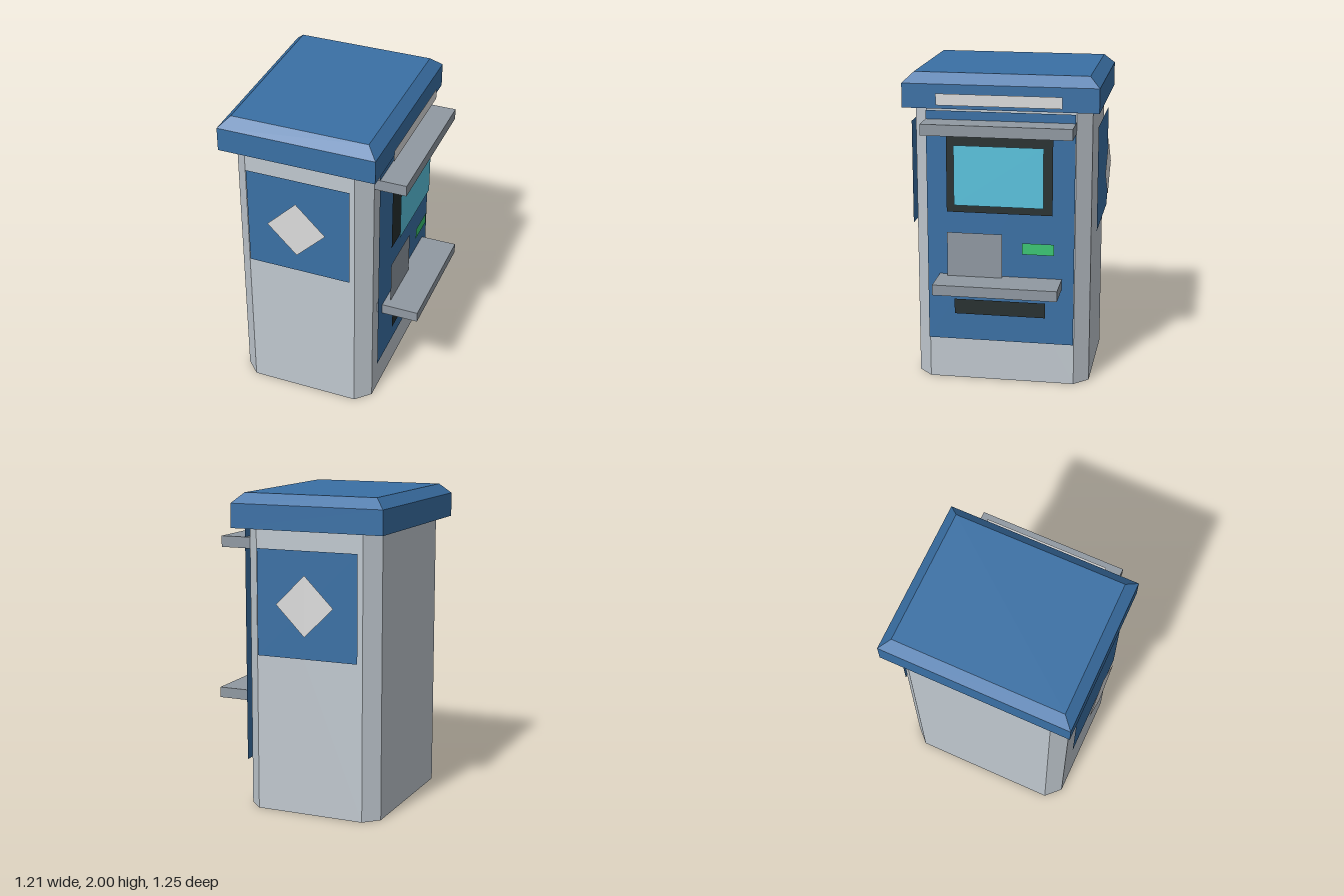
import * as THREE from 'three';

export function createModel() {
  const model = new THREE.Group();
  model.name = 'kiosk';
  const material = (name, color, side = THREE.DoubleSide) => {
    const m = new THREE.MeshStandardMaterial({ color, side });
    m.name = name;
    return m;
  };
  const bodyGrey = material('bodyGrey', 0xc0c8cf, THREE.FrontSide);
  const blue = material('blue', 0x3a70a5);
  const shelfGrey = material('shelfGrey', 0x9099a2);
  const black = material('black', 0x273030);
  const paleGrey = material('paleGrey', 0xdcdcdc);
  const screenBlue = material('screenBlue', 0x5ac3de);
  const green = material('green', 0x3bc674);

  const add = (name, geometry, mat, parent = model) => {
    const mesh = new THREE.Mesh(geometry, mat);
    mesh.name = name;
    parent.add(mesh);
    return mesh;
  };

  // Cabinet: a rectangle with cut corners, extruded upwards
  const x0 = -0.552, x1 = 0.335, z1 = 0.557, cut = 0.09;
  const outline = new THREE.Shape([
    [x0 + cut, -z1], [x1 - cut, -z1], [x1, -z1 + cut], [x1, z1 - cut],
    [x1 - cut, z1], [x0 + cut, z1], [x0, z1 - cut], [x0, -z1 + cut],
  ].map(([x, y]) => new THREE.Vector2(x, y)));
  const cabinet = new THREE.ExtrudeGeometry(outline, { depth: 1.785, bevelEnabled: false });
  cabinet.rotateX(-Math.PI / 2);
  add('cabinet', cabinet, bodyGrey);

  // Roof: a slab whose top edge slopes inwards
  const slab = new THREE.BoxGeometry(1, 2, 1.22, 1, 2, 1);
  const pos = slab.attributes.position;
  const levels = [1.785, 1.937, 2];
  for (let i = 0; i < pos.count; i++) {
    const level = Math.round(pos.getY(i)) + 1;
    const inset = level === 2 ? 0.065 : 0;
    const x = pos.getX(i), z = pos.getZ(i);
    pos.setXYZ(i, x - Math.sign(x) * inset - 0.108, levels[level], z - Math.sign(z) * inset);
  }
  const roof = slab.toNonIndexed();
  roof.computeVertexNormals();
  add('roof', roof, blue);

  // Shelf and canopy on the service side
  const shelf = (name, xEnd, yLow, yHigh, zHalf) => {
    const geometry = new THREE.BoxGeometry(xEnd - x1, yHigh - yLow, zHalf * 2);
    geometry.translate((x1 + xEnd) / 2, (yLow + yHigh) / 2, 0);
    add(name, geometry, shelfGrey);
  };
  shelf('canopy', 0.535, 1.645, 1.715, 0.467);
  shelf('counterShelf', 0.605, 0.65, 0.717, 0.39);

  // Flat panels of the service side, stacked in layers
  const layer = 0.035;
  const plate = (name, x, za, zb, ya, yb, mat) => {
    const geometry = new THREE.PlaneGeometry(zb - za, yb - ya);
    geometry.rotateY(Math.PI / 2);
    geometry.translate(x, (ya + yb) / 2, (za + zb) / 2);
    add(name, geometry, mat);
  };
  plate('servicePanel', x1 + layer, -0.466, 0.466, 0.28, 1.77, blue);
  plate('screenFrame', x1 + 2 * layer, -0.333, 0.333, 1.137, 1.627, black);
  plate('screen', x1 + 3 * layer, -0.28, 0.28, 1.19, 1.57, screenBlue);
  plate('keypad', x1 + 2 * layer, -0.015, 0.333, 0.65, 1.003, shelfGrey);
  plate('cardSlot', x1 + 2 * layer, -0.343, -0.143, 0.88, 0.953, green);
  plate('dispenserSlot', x1 + 2 * layer, -0.29, 0.29, 0.465, 0.563, black);
  plate('roofStrip', 0.392 + layer, -0.39, 0.39, 1.813, 1.885, paleGrey);

  // Matching sign panels on the front and back
  for (const [name, dir] of [['frontSign', 1], ['backSign', -1]]) {
    const sign = new THREE.Group();
    sign.name = name;
    sign.position.set(-0.108, 1.335, dir * z1);
    if (dir < 0) sign.rotation.y = Math.PI;
    add('signPanel', new THREE.PlaneGeometry(0.667, 0.667), blue, sign).position.z = 0.033;
    const diamond = new THREE.PlaneGeometry(0.268, 0.268);
    diamond.rotateZ(Math.PI / 4);
    add('signDiamond', diamond, paleGrey, sign).position.z = 0.067;
    model.add(sign);
  }

  return model;
}
